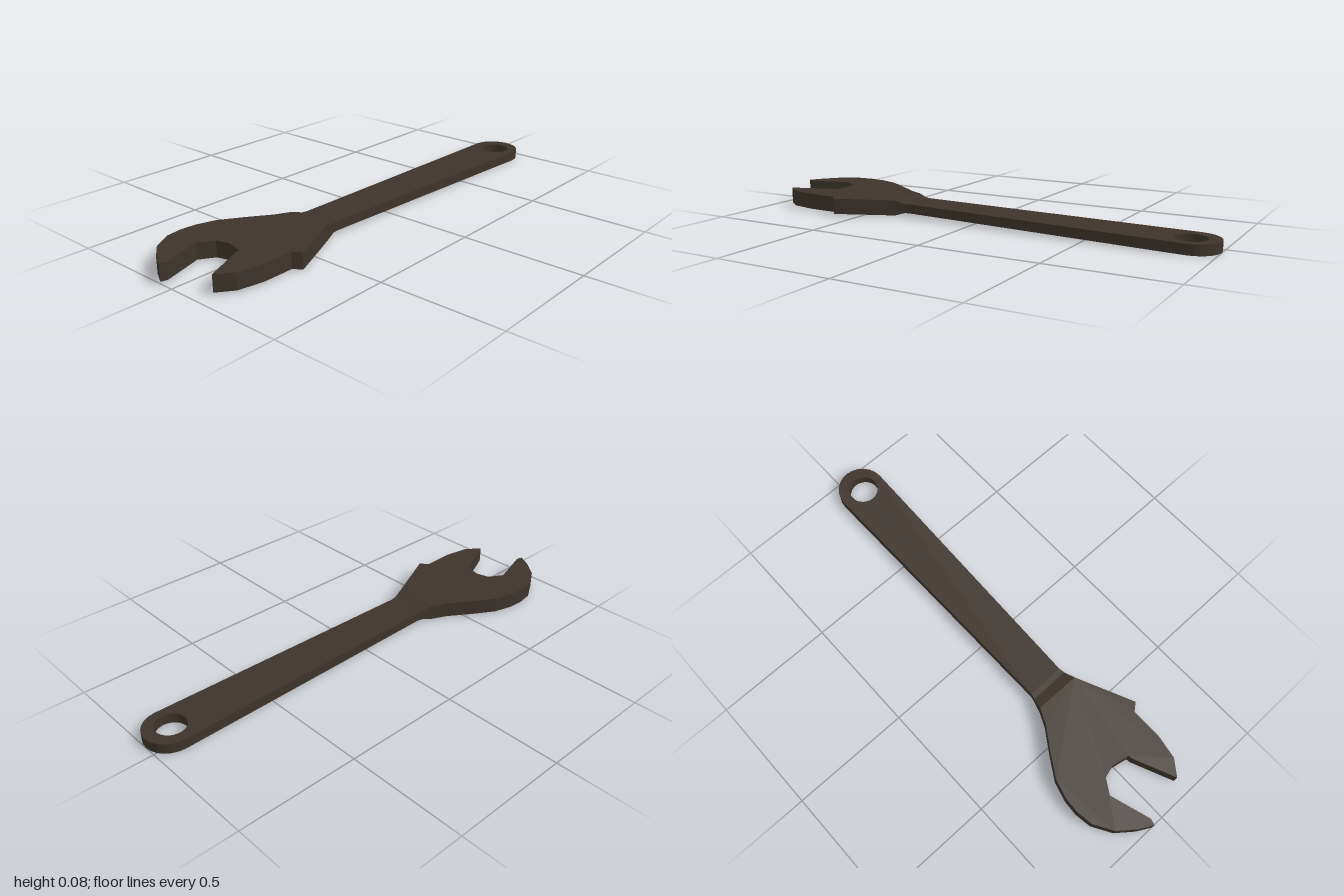
import * as THREE from 'three';

// Piecewise-linear lookup along x: stations of [x, bottom y, top y]
const heights = [[-1, 0.008, 0.076], [-0.37, 0.004, 0.069], [-0.325, 0.017, 0.056], [1, 0, 0.042]];
function heightAt(x, top) {
  const k = top ? 2 : 1;
  let i = 0;
  while (i < heights.length - 2 && x > heights[i + 1][0]) i++;
  const a = heights[i], b = heights[i + 1];
  return THREE.MathUtils.mapLinear(x, a[0], b[0], a[k], b[k]);
}

// Extrude a plan outline (x, z) and fit its faces to the height profile
function slab(name, shape, material) {
  const geo = new THREE.ExtrudeGeometry(shape, { depth: 1, bevelEnabled: false, curveSegments: 24 });
  geo.rotateX(Math.PI / 2);
  const p = geo.attributes.position;
  for (let i = 0; i < p.count; i++) p.setY(i, heightAt(p.getX(i), p.getY(i) > -0.5));
  geo.computeVertexNormals();
  const mesh = new THREE.Mesh(geo, material);
  mesh.name = name;
  return mesh;
}

const outline = (pts) => new THREE.Shape(pts.map(([x, z]) => new THREE.Vector2(x, z)));

export function createModel() {
  const group = new THREE.Group();
  group.name = 'wrench';
  const steel = new THREE.MeshStandardMaterial({ color: 0x3d342c });
  steel.name = 'dark steel';

  // Open jaw head
  const head = outline([
    // rounded back of the upper jaw
    [-1, -0.06], [-0.97, -0.115], [-0.915, -0.185], [-0.835, -0.233], [-0.765, -0.243],
    [-0.7, -0.238], [-0.62, -0.215], [-0.525, -0.155], [-0.435, -0.093], [-0.37, -0.062],
    // shoulder step and lower jaw
    [-0.37, 0.129], [-0.61, 0.238], [-0.635, 0.205], [-0.765, 0.205], [-0.87, 0.185], [-0.933, 0.137],
    // mouth
    [-0.762, 0.062], [-0.745, 0.06], [-0.73, -0.012], [-0.745, -0.067], [-0.805, -0.105], [-0.975, -0.052],
  ]);
  group.add(slab('jawHead', head, steel));

  // Tapered neck between the thick head and the thin handle
  const neck = outline([[-0.37, -0.062], [-0.325, -0.05], [-0.325, 0.117], [-0.37, 0.129]]);
  group.add(slab('neck', neck, steel));

  // Handle with a rounded end and hanging hole
  const end = [];
  for (let i = 0; i <= 12; i++) {
    const a = -Math.PI / 2 + (i / 12) * Math.PI;
    end.push([0.896 + 0.104 * Math.cos(a), 0.051 + 0.102 * Math.sin(a)]);
  }
  const handle = outline([[-0.325, -0.05], [-0.3, -0.045], ...end, [-0.3, 0.113], [-0.325, 0.117]]);
  const hole = new THREE.Path();
  hole.absarc(0.888, 0.055, 0.062, 0, Math.PI * 2, true);
  handle.holes.push(hole);
  group.add(slab('handle', handle, steel));

  return group;
}
